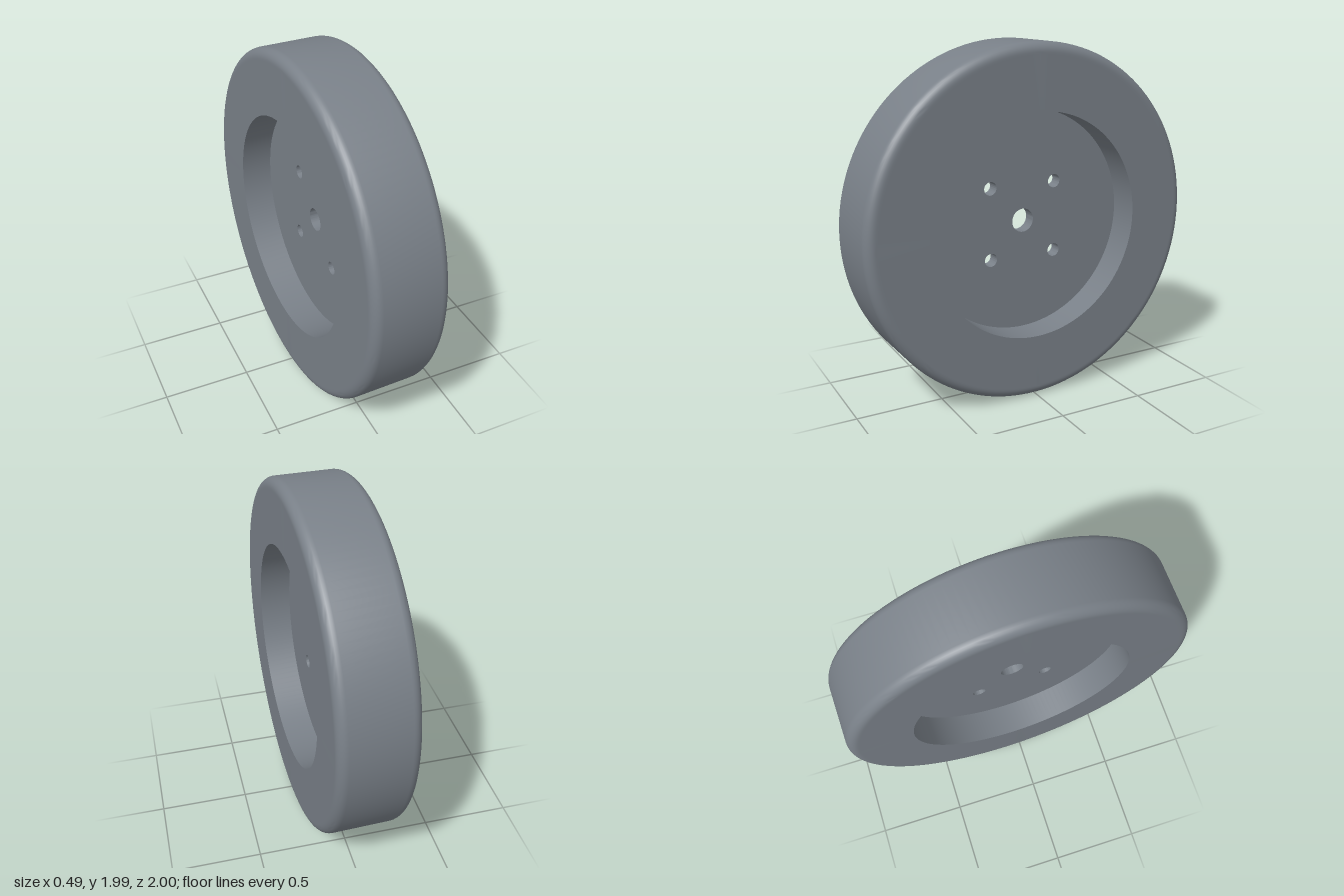
import * as THREE from 'three';
import { toCreasedNormals } from 'three/addons/utils/BufferGeometryUtils.js';

const R = 0.995;        // outer radius
const HALF = 0.216;     // half width of the rim
const FILLET = 0.055;   // rounding of the tread edges
const INNER = 0.633;    // radius of the recess on both sides
const WEB = 0.075;      // thickness of the centre disc

export function createModel() {
  const group = new THREE.Group();
  const material = new THREE.MeshStandardMaterial({ color: 0x798088 });
  const add = (name, geometry) => {
    const mesh = new THREE.Mesh(toCreasedNormals(geometry, Math.PI / 7), material);
    mesh.name = name;
    group.add(mesh);
  };

  // Rim: closed profile with rounded outer edges, turned around the axle
  const profile = [new THREE.Vector2(INNER, -HALF), new THREE.Vector2(R - FILLET - 0.01, -HALF)];
  for (const side of [-1, 1]) {
    for (let i = 0; i <= 8; i++) {
      const a = (side < 0 ? -Math.PI / 2 : 0) + (i / 8) * Math.PI / 2;
      profile.push(new THREE.Vector2(
        R - FILLET + FILLET * Math.cos(a),
        side * (HALF - FILLET) + FILLET * Math.sin(a)));
    }
  }
  profile.push(
    new THREE.Vector2(R - FILLET - 0.01, HALF),
    new THREE.Vector2(INNER, HALF),
    new THREE.Vector2(INNER, -HALF));
  add('rim', new THREE.LatheGeometry(profile, 128).rotateZ(-Math.PI / 2));

  // Centre disc with the axle hole and four bolt holes
  const disc = new THREE.Shape().absarc(0, 0, INNER + 0.003, 0, Math.PI * 2, false);
  const drill = (x, y, r) => disc.holes.push(new THREE.Path().absarc(x, y, r, 0, Math.PI * 2, true));
  drill(0, 0, 0.067);
  for (const x of [-0.204, 0.204]) for (const y of [-0.204, 0.204]) drill(x, y, 0.038);
  add('centreDisc', new THREE.ExtrudeGeometry(disc, { depth: WEB, bevelEnabled: false, curveSegments: 48 })
    .translate(0, 0, -WEB / 2).rotateY(Math.PI / 2));

  // The wheel is steered very slightly about the vertical
  group.name = 'wheel';
  group.rotation.y = 0.032;
  group.position.y = R;
  return group;
}
